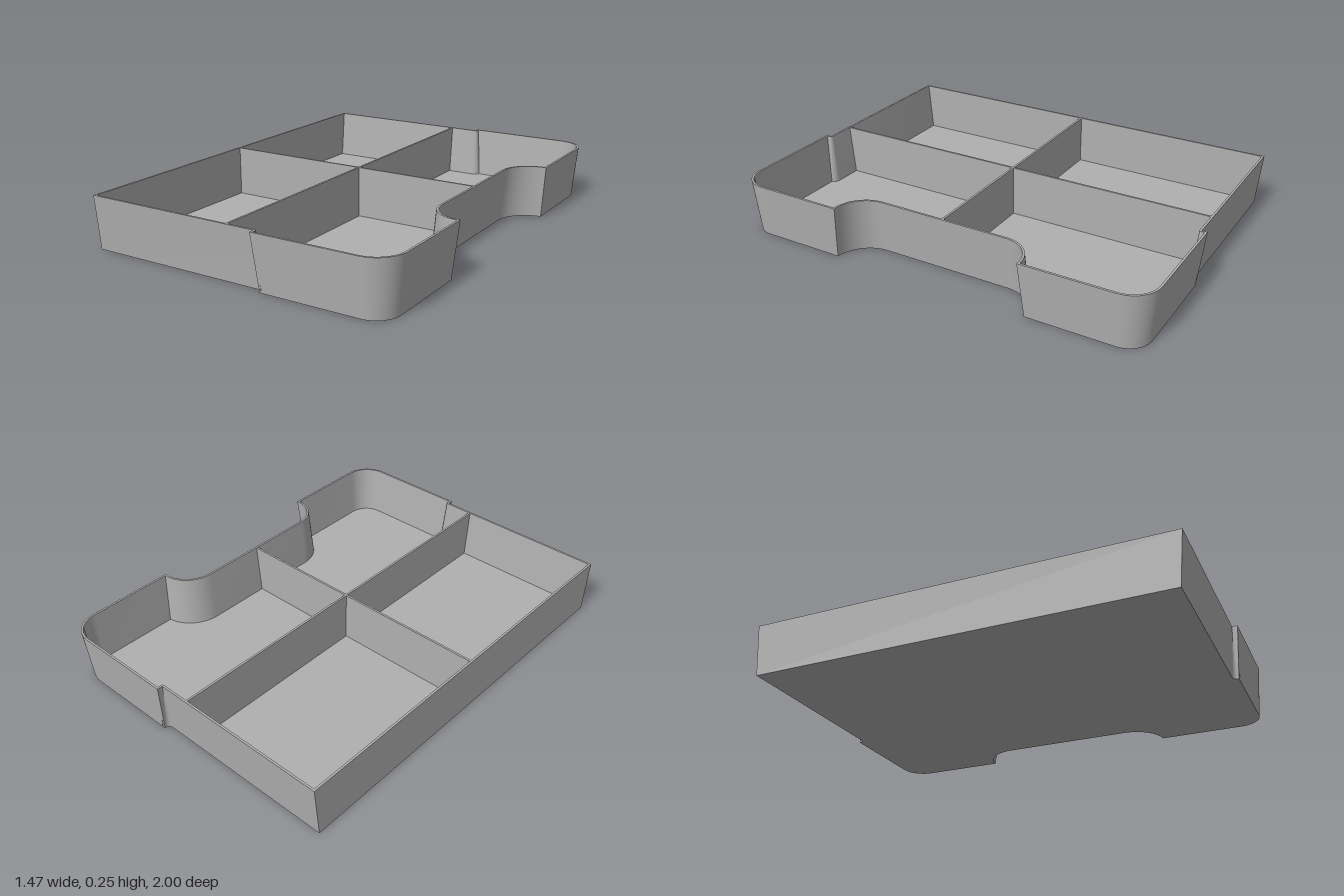
import * as THREE from 'three';
import { toCreasedNormals } from 'three/addons/utils/BufferGeometryUtils.js';

const HEIGHT = 0.25, FLOOR = 0.012, WALL = 0.01, DRAFT = 0.022;
const LEFT = -0.735, RIGHT = 0.73;

// Tray outline in (x, z), moved inwards by r; the straight back edge stays at x = left.
function outline(r, left) {
  const half = [[left, 0.975 - r]];
  const arc = (cx, cz, rad, a0, a1, n) => {
    for (let i = 0; i <= n; i++) {
      const a = a0 + (a1 - a0) * i / n;
      half.push([cx + rad * Math.cos(a), cz + rad * Math.sin(a)]);
    }
  };
  // Small step in the side wall
  const end = r > 0.025 ? Math.asin((r - 0.025) / r) : 0;
  arc(0.12, 0.975, r, -Math.PI / 2, end, 6);
  half.push([0.12 + r * Math.cos(end), 1 - r]);
  // Rounded outer corner
  arc(RIGHT - 0.13, 0.87, 0.13 - r, Math.PI / 2, 0, 14);
  // Scooped notch
  const R = 0.14 + r, cx = 0.72, cz = 0.31;
  arc(cx, cz, R, Math.acos((RIGHT - r - cx) / R), Math.PI, 14);
  return [...half, ...half.map(([x, z]) => [x, -z]).reverse()];
}

// Shell: outer wall, rim, inner wall, floor and underside
function shellGeometry() {
  const ring = (r, left, y) => outline(r, left).map(([x, z]) => new THREE.Vector3(x, y, z));
  const rings = [
    ring(DRAFT, LEFT, 0),
    ring(0, LEFT, HEIGHT),
    ring(WALL, LEFT + WALL, HEIGHT),
    ring(WALL + DRAFT, LEFT + WALL, FLOOR),
  ];
  const points = [];
  for (let k = 0; k < rings.length - 1; k++) {
    const lo = rings[k], hi = rings[k + 1];
    lo.forEach((a, i) => {
      const j = (i + 1) % lo.length;
      const quad = [[a, lo[j], hi[j]], [a, hi[j], hi[i]]];
      for (const t of quad) {
        const area = t[1].clone().sub(t[0]).cross(t[2].clone().sub(t[0])).length();
        if (area > 1e-9) points.push(...t);
      }
    });
  }
  const cap = (loop, up) => {
    const flat = loop.map((p) => new THREE.Vector2(p.x, -p.z));
    for (const [a, b, c] of THREE.ShapeUtils.triangulateShape(flat, [])) {
      points.push(loop[a], loop[up ? b : c], loop[up ? c : b]);
    }
  };
  cap(rings[3], true);
  cap(rings[0], false);
  return toCreasedNormals(new THREE.BufferGeometry().setFromPoints(points), 0.5);
}

// Upright divider plate whose ends follow the sloping walls
function dividerGeometry(corners, thickness) {
  const shape = new THREE.Shape(corners.map(([u, y]) => new THREE.Vector2(u, y)));
  return new THREE.ExtrudeGeometry(shape, { depth: thickness, bevelEnabled: false })
    .translate(0, 0, -thickness / 2);
}

export function createModel() {
  const grey = new THREE.MeshStandardMaterial({ color: 0xb0b0b0 });
  grey.name = 'grey plastic';
  const group = new THREE.Group();
  group.name = 'compartmentTray';
  const add = (name, geometry) => {
    const mesh = new THREE.Mesh(geometry, grey);
    mesh.name = name;
    group.add(mesh);
    return mesh;
  };

  add('trayShell', shellGeometry());

  const base = FLOOR / 2, top = HEIGHT - 0.0005;
  add('lengthDivider', dividerGeometry(
    [[LEFT + 0.005, base], [0.553, base], [0.575, top], [LEFT + 0.005, top]], 0.01));
  const cross = add('crossDivider', dividerGeometry(
    [[-0.948, base], [0.948, base], [0.97, top], [-0.97, top]], 0.01));
  cross.rotation.y = Math.PI / 2;
  cross.position.x = -0.02;
  return group;
}
